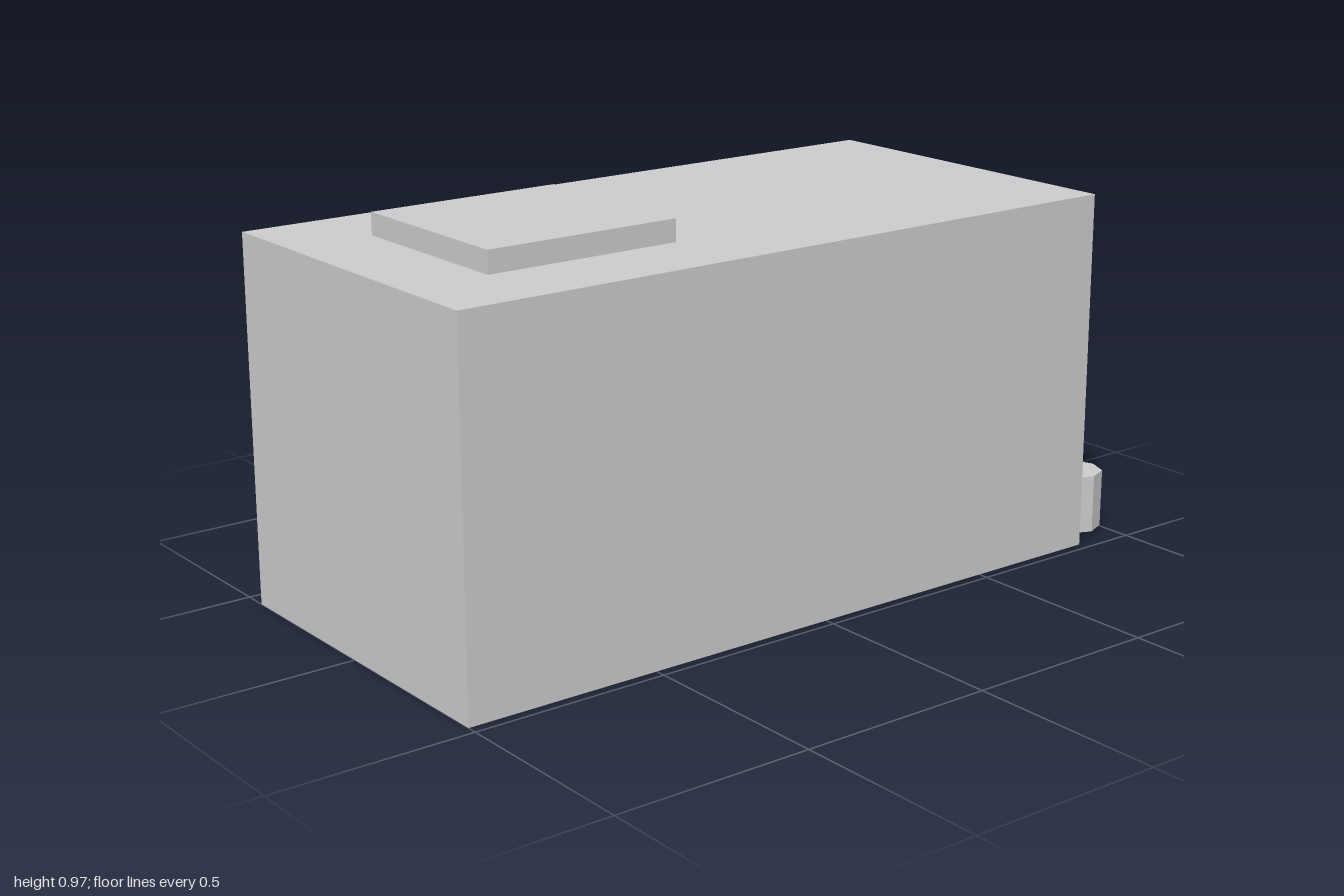
import * as THREE from 'three';

export function createModel() {
  const model = new THREE.Group();
  const material = new THREE.MeshStandardMaterial({ color: 0xcccccc, flatShading: true });

  const add = (name, geometry, x, y, z) => {
    const mesh = new THREE.Mesh(geometry, material);
    mesh.name = name;
    mesh.position.set(x, y, z);
    model.add(mesh);
  };

  // Box given by its lower and upper corners
  const addBox = (name, [x0, y0, z0], [x1, y1, z1]) =>
    add(name, new THREE.BoxGeometry(x1 - x0, y1 - y0, z1 - z0),
      (x0 + x1) / 2, (y0 + y1) / 2, (z0 + z1) / 2);

  // Main building, roof unit and side door
  addBox('building', [-0.44, 0, -0.854], [0.474, 0.915, 1]);
  addBox('roofUnit', [-0.225, 0.915, 0.277], [0.257, 0.97, 0.783]);
  addBox('sideDoor', [-0.475, 0.025, -0.643], [-0.44, 0.513, -0.4]);

  // Eight-sided barrels standing behind the back wall: one tall, one short
  const barrels = [['tallBarrel', 0.173, 0.225], ['shortBarrel', 0.374, 0.15]];
  for (const [name, x, height] of barrels) {
    add(name, new THREE.CylinderGeometry(0.075, 0.075, height, 8), x, 0.013 + height / 2, -0.925);
  }

  return model;
}
